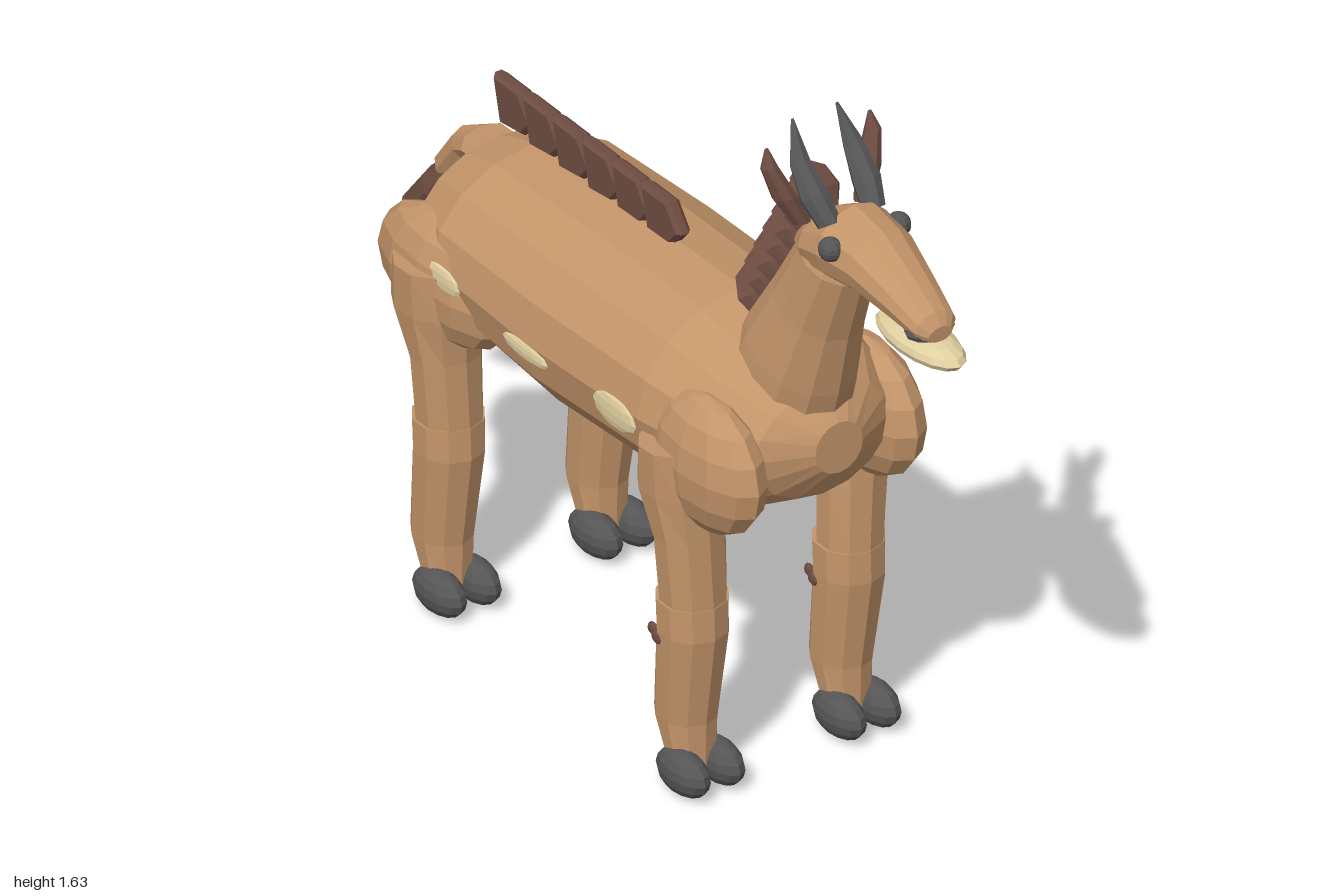
import * as THREE from 'three';

const flat = (name, color) => {
  const m = new THREE.MeshStandardMaterial({ color });
  m.name = name;
  m.flatShading = true;
  return m;
};

export function createModel() {
  const root = new THREE.Group();
  root.name = 'hoofedAnimal';
  const tan = flat('tanCoat', 0xc4956a);
  const brown = flat('brownHair', 0x6d4c41);
  const grey = flat('greyHorn', 0x555555);
  const cream = flat('cream', 0xe0cfa0);

  const add = (name, geo, mat) => {
    const mesh = new THREE.Mesh(geo, mat);
    mesh.name = name;
    root.add(mesh);
    return mesh;
  };

  // Skin over elliptical rings [x, y, z, in-plane radius, z radius], capped at both ends
  const loft = (name, mat, rings, sides = 12) => {
    const first = rings[0], last = rings[rings.length - 1];
    const d = new THREE.Vector2(last[0] - first[0], last[1] - first[1]).normalize();
    const pos = [], idx = [];
    for (const [x, y, z, a, b] of rings) {
      for (let j = 0; j < sides; j++) {
        const t = (j / sides) * Math.PI * 2, c = a * Math.cos(t);
        pos.push(x - d.y * c, y + d.x * c, z + b * Math.sin(t));
      }
    }
    for (let i = 0; i < rings.length - 1; i++) {
      for (let j = 0; j < sides; j++) {
        const p = i * sides + j, q = i * sides + (j + 1) % sides;
        idx.push(p, q, p + sides, q, q + sides, p + sides);
      }
    }
    const end = (rings.length - 1) * sides;
    for (let j = 1; j < sides - 1; j++) {
      idx.push(0, j + 1, j, end, end + j, end + j + 1);
    }
    const geo = new THREE.BufferGeometry();
    geo.setAttribute('position', new THREE.Float32BufferAttribute(pos, 3));
    geo.setIndex(idx);
    geo.computeVertexNormals();
    return add(name, geo, mat);
  };

  const ellipsoid = (name, mat, [x, y, z], [rx, ry, rz], w = 12, h = 8) => {
    const mesh = add(name, new THREE.SphereGeometry(1, w, h), mat);
    mesh.position.set(x, y, z);
    mesh.scale.set(rx, ry, rz);
    return mesh;
  };

  // Barrel body, neck and head
  loft('body', tan, [
    [-0.75, 0.84, 0, 0.07, 0.08], [-0.70, 0.83, 0, 0.12, 0.16], [-0.64, 0.84, 0, 0.17, 0.22],
    [-0.52, 0.845, 0, 0.205, 0.26], [-0.17, 0.84, 0, 0.23, 0.272], [0.22, 0.853, 0, 0.222, 0.268],
    [0.41, 0.85, 0, 0.185, 0.235], [0.50, 0.85, 0, 0.13, 0.17], [0.56, 0.86, 0, 0.06, 0.06],
  ], 16);
  loft('neck', tan, [
    [0.38, 0.92, 0, 0.15, 0.125], [0.43, 1.04, 0, 0.138, 0.115], [0.49, 1.18, 0, 0.11, 0.095],
    [0.56, 1.33, 0, 0.09, 0.085], [0.58, 1.39, 0, 0.06, 0.06],
  ]);
  loft('head', tan, [
    [0.47, 1.335, 0, 0.035, 0.05], [0.53, 1.36, 0, 0.07, 0.085], [0.61, 1.385, 0, 0.09, 0.095],
    [0.71, 1.385, 0, 0.075, 0.085], [0.82, 1.352, 0, 0.052, 0.066], [0.90, 1.325, 0, 0.034, 0.052],
    [0.92, 1.315, 0, 0.018, 0.03],
  ]);
  ellipsoid('jaw', cream, [0.85, 1.27, 0], [0.14, 0.033, 0.06], 16);
  ellipsoid('nose', grey, [0.88, 1.312, 0], [0.04, 0.025, 0.058]);

  // Tail: stub and tuft
  loft('tailStub', tan, [
    [-0.69, 0.97, 0, 0.035, 0.065], [-0.75, 0.935, 0, 0.04, 0.045], [-0.83, 0.84, 0, 0.035, 0.03],
  ], 8);
  loft('tailTuft', brown, [
    [-0.80, 0.85, 0, 0.03, 0.025], [-0.85, 0.78, 0, 0.05, 0.045],
    [-0.92, 0.70, 0, 0.045, 0.045], [-1.0, 0.615, 0, 0.004, 0.006],
  ], 8);

  // Thin crest of overlapping tufts along the back
  const tuft = new THREE.Shape([
    [-0.075, 0.05], [0.02, 0.05], [0.065, -0.01], [0.03, -0.05], [-0.05, -0.06],
  ].map(([x, y]) => new THREE.Vector2(x, y)));
  const tuftGeo = new THREE.ExtrudeGeometry(tuft, {
    depth: 0.016, bevelThickness: 0.01, bevelSize: 0.008, bevelOffset: -0.008, bevelSegments: 1,
  }).translate(0, 0, -0.008);
  for (let i = 0; i < 6; i++) {
    add('backCrest', tuftGeo, brown).position.set(-0.575 + i * 0.105, 1.11, 0);
  }
  // Stepped mane up the neck
  for (let i = 0; i < 7; i++) {
    const x = 0.275 + i * 0.032, y = 1.10 + i * 0.056;
    loft('neckMane', brown, [
      [x + 0.04, y - 0.04, 0, 0.025, 0.035], [x + 0.01, y, 0, 0.035, 0.06],
      [x - 0.02, y + 0.035, 0, 0.03, 0.045], [x - 0.03, y + 0.05, 0, 0.012, 0.015],
    ], 8);
  }

  // Paired parts
  for (const s of [1, -1]) {
    ellipsoid('eye', grey, [0.65, 1.415, s * 0.086], [0.028, 0.027, 0.026], 10);
    loft('horn', grey, [
      [0.605, 1.44, s * 0.055, 0.028, 0.026], [0.565, 1.49, s * 0.065, 0.032, 0.032],
      [0.515, 1.55, s * 0.067, 0.02, 0.024], [0.472, 1.63, s * 0.056, 0.003, 0.003],
    ], 8);
    loft('ear', brown, [
      [0.535, 1.42, s * 0.078, 0.022, 0.02], [0.515, 1.48, s * 0.105, 0.03, 0.026],
      [0.495, 1.55, s * 0.13, 0.02, 0.019], [0.485, 1.59, s * 0.13, 0.004, 0.004],
    ], 8);

    ellipsoid('shoulder', tan, [0.38, 0.81, s * 0.2], [0.178, 0.157, 0.08]);
    ellipsoid('haunch', tan, [-0.55, 0.79, s * 0.2], [0.22, 0.145, 0.08]);

    // Upper leg, lower leg and cloven hoof at the front and rear
    for (const [which, x] of [['front', 0.315], ['rear', -0.55]]) {
      const wide = which === 'rear' ? 0.012 : 0;
      loft(which + 'UpperLeg', tan, [
        [x - 0.015, 0.83, s * 0.22, 0.085 + wide, 0.087], [x - 0.02, 0.72, s * 0.215, 0.097 + wide, 0.085],
        [x + 0.003, 0.61, s * 0.205, 0.073, 0.078], [x + 0.005, 0.44, s * 0.197, 0.073, 0.072],
      ], 10);
      loft(which + 'LowerLeg', tan, [
        [x, 0.455, s * 0.197, 0.079, 0.078], [x + 0.003, 0.38, s * 0.197, 0.079, 0.077],
        [x - 0.025, 0.16, s * 0.195, 0.073, 0.064], [x + 0.0, 0.05, s * 0.195, 0.045, 0.052],
      ], 10);
      for (const z of [0.153, 0.24]) {
        ellipsoid(which + 'Hoof', grey, [x + 0.03, 0.055, s * z], [0.08, 0.05, 0.041]);
      }
    }
    // Small marks on the front legs
    for (const side of [1, -1]) {
      for (const x of [0.258, 0.29]) {
        ellipsoid('legMark', brown, [x, 0.362, s * 0.197 + side * (x < 0.27 ? 0.057 : 0.07)], [0.018, 0.015, 0.008], 8, 6);
      }
    }
    // Pale flank spots
    for (const [x, y, z, rx, ry] of [
      [-0.485, 0.835, 0.262, 0.068, 0.032], [-0.175, 0.82, 0.269, 0.08, 0.022], [0.14, 0.83, 0.268, 0.077, 0.037],
    ]) {
      ellipsoid('flankSpot', cream, [x, y, s * z], [rx, ry, 0.009], 12, 6);
    }
  }
  return root;
}
